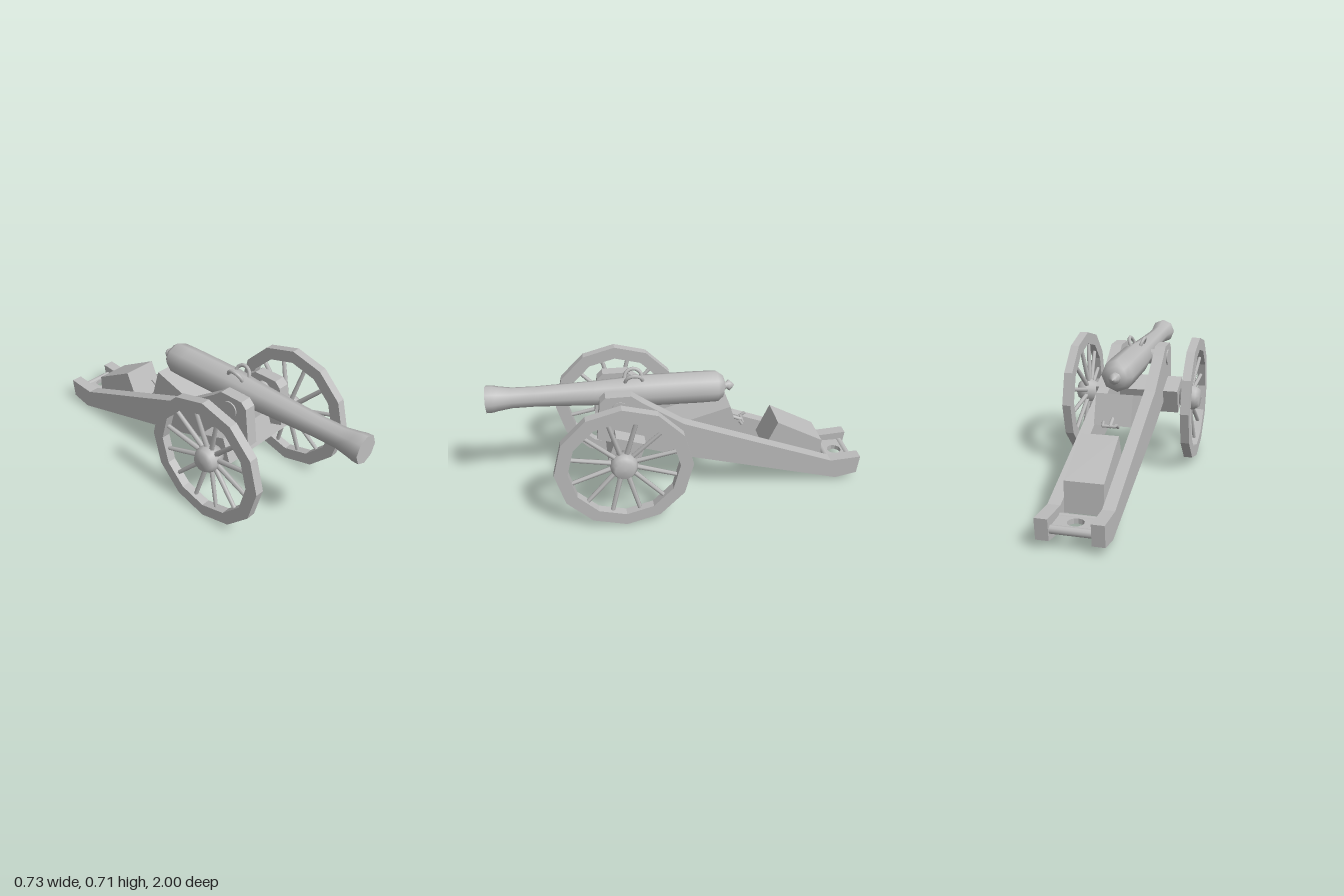
import * as THREE from 'three';

const iron = new THREE.MeshStandardMaterial({ color: 0xbcbcbc });
iron.name = 'plainGrey';
const CX = -0.01; // centre line of the gun and carriage

function add(parent, name, geo) {
  const m = new THREE.Mesh(geo, iron);
  m.name = name;
  parent.add(m);
  return m;
}

// side profile given as [z, y], extruded along x from x0 to x1
function slab(profile, x0, x1, hole) {
  const shape = new THREE.Shape(profile.map(p => new THREE.Vector2(...p)));
  if (hole) shape.holes.push(new THREE.Path(hole.map(p => new THREE.Vector2(...p))));
  return new THREE.ExtrudeGeometry(shape, { depth: x1 - x0, bevelEnabled: false })
    .rotateY(-Math.PI / 2).translate(x1, 0, 0);
}

// round bar between two points
function rod(a, b, r0, r1 = r0, sides = 8) {
  const A = new THREE.Vector3(...a), B = new THREE.Vector3(...b), d = B.clone().sub(A);
  const g = new THREE.CylinderGeometry(r1, r0, d.length(), sides);
  g.applyQuaternion(new THREE.Quaternion().setFromUnitVectors(new THREE.Vector3(0, 1, 0), d.normalize()));
  return g.translate(...A.add(B).multiplyScalar(0.5).toArray());
}

function lathe(points, sides) {
  return new THREE.LatheGeometry(points.map(p => new THREE.Vector2(...p)), sides);
}

const ring = (r, n) => Array.from({ length: n }, (_, i) => {
  const a = i / n * Math.PI * 2;
  return [r * Math.cos(a), r * Math.sin(a)];
});

function makeWheel(name) {
  const wheel = new THREE.Group();
  wheel.name = name;
  add(wheel, 'rim', slab(ring(0.35, 12), 0.308, 0.355, ring(0.283, 12)));
  add(wheel, 'hub', lathe([[0, 0.245], [0.045, 0.245], [0.07, 0.3], [0.07, 0.325],
    [0.062, 0.345], [0.048, 0.364], [0, 0.366]], 14).rotateZ(-Math.PI / 2));
  for (let i = 0; i < 12; i++) {
    const a = (i + 0.5) / 12 * Math.PI * 2, c = Math.cos(a), s = Math.sin(a);
    add(wheel, 'spoke', rod([0.302, 0.04 * s, 0.04 * c], [0.33, 0.295 * s, 0.295 * c], 0.014, 0.011, 6));
  }
  return wheel;
}

export function createModel() {
  const model = new THREE.Group();
  model.name = 'fieldCannon';

  // wheels and axle
  const left = makeWheel('leftWheel');
  left.position.set(0, 0.35, 0.333);
  const right = makeWheel('rightWheel');
  right.position.set(0, 0.35, 0.322);
  right.rotation.y = Math.PI;
  model.add(left, right);
  add(model, 'axle', rod([-0.3, 0.35, 0.328], [0.3, 0.35, 0.328], 0.027, 0.027, 12));
  const beam = add(model, 'axleBeam', new THREE.BoxGeometry(0.478, 0.143, 0.16));
  beam.position.set(-0.011, 0.366, 0.31);
  beam.rotation.x = -0.33;

  // trail cheeks
  const cheek = [[0.455, 0.41], [0.43, 0.62], [0.4, 0.65], [0.27, 0.65], [0.22, 0.61], [0, 0.46],
    [-0.83, 0.137], [-1, 0.147], [-0.99, 0.04], [-0.87, 0.017], [0, 0.258]];
  add(model, 'leftCheek', slab(cheek, 0.086, 0.148));
  add(model, 'rightCheek', slab(cheek, -0.168, -0.107));

  // parts between the cheeks
  add(model, 'elevatingBlock', slab([[0.1, 0.4], [-0.04, 0.443], [-0.255, 0.505], [-0.302, 0.35],
    [0.05, 0.3]], -0.107, 0.086));
  add(model, 'trailChest', slab([[-0.455, 0.215], [-0.525, 0.378], [-0.785, 0.238], [-0.79, 0.085]],
    -0.105, 0.084));

  // towing plate with a round hole
  const plate = new THREE.Shape([[-0.107, 0.83], [0.086, 0.83], [0.086, 0.98], [-0.107, 0.98]]
    .map(p => new THREE.Vector2(...p)));
  const eye = new THREE.Path();
  eye.absarc(-0.01, 0.905, 0.04, 0, Math.PI * 2, true);
  plate.holes.push(eye);
  add(model, 'towingPlate', new THREE.ExtrudeGeometry(plate,
    { depth: 0.025, bevelEnabled: false, curveSegments: 6 }).rotateX(-Math.PI / 2).translate(0, 0.075, 0));
  for (const z of [-0.968, -0.843])
    add(model, 'towingBar', rod([-0.11, 0.087, z], [0.09, 0.087, z], 0.02, 0.02, 10));

  // barrel, leaning very slightly
  const gun = new THREE.Group();
  gun.name = 'gun';
  gun.position.set(CX, 0.588, 0);
  gun.rotation.x = -0.018;
  model.add(gun);
  add(gun, 'barrel', lathe([[0.03, -0.238], [0.06, -0.228], [0.085, -0.195], [0.087, -0.1], [0.085, 0.2],
    [0.074, 0.32], [0.066, 0.45], [0.054, 0.75], [0.055, 0.87], [0.066, 0.94], [0.072, 0.965], [0.073, 0.999]], 8)
    .rotateX(Math.PI / 2));
  add(gun, 'muzzleFace', new THREE.CircleGeometry(0.073, 8).translate(0, 0, 0.999));
  add(gun, 'cascabel', lathe([[0, -0.292], [0.015, -0.28], [0.03, -0.262], [0.018, -0.248], [0.03, -0.236]], 8)
    .rotateX(Math.PI / 2));
  add(model, 'trunnions', rod([-0.175, 0.578, 0.33], [0.152, 0.578, 0.33], 0.043, 0.043, 14));

  // lifting handles leaning outward
  for (const s of [-1, 1]) {
    const handle = add(gun, 'liftingHandle', new THREE.TorusGeometry(0.045, 0.01, 6, 10, Math.PI)
      .rotateY(Math.PI / 2));
    handle.position.set(s * 0.025, 0.066, 0.245);
    handle.rotation.z = -s * 0.4;
  }

  // elevating crank behind the block
  add(model, 'crankShaft', rod([CX, 0.4, -0.25], [CX, 0.358, -0.345], 0.01));
  add(model, 'crankArm', rod([-0.05, 0.36, -0.343], [0.03, 0.36, -0.343], 0.008));
  for (const [x, z] of [[-0.05, -0.37], [0.03, -0.32]])
    add(model, 'crankGrip', rod([x, 0.355, -0.335], [x, 0.378, z], 0.008));

  return model;
}
